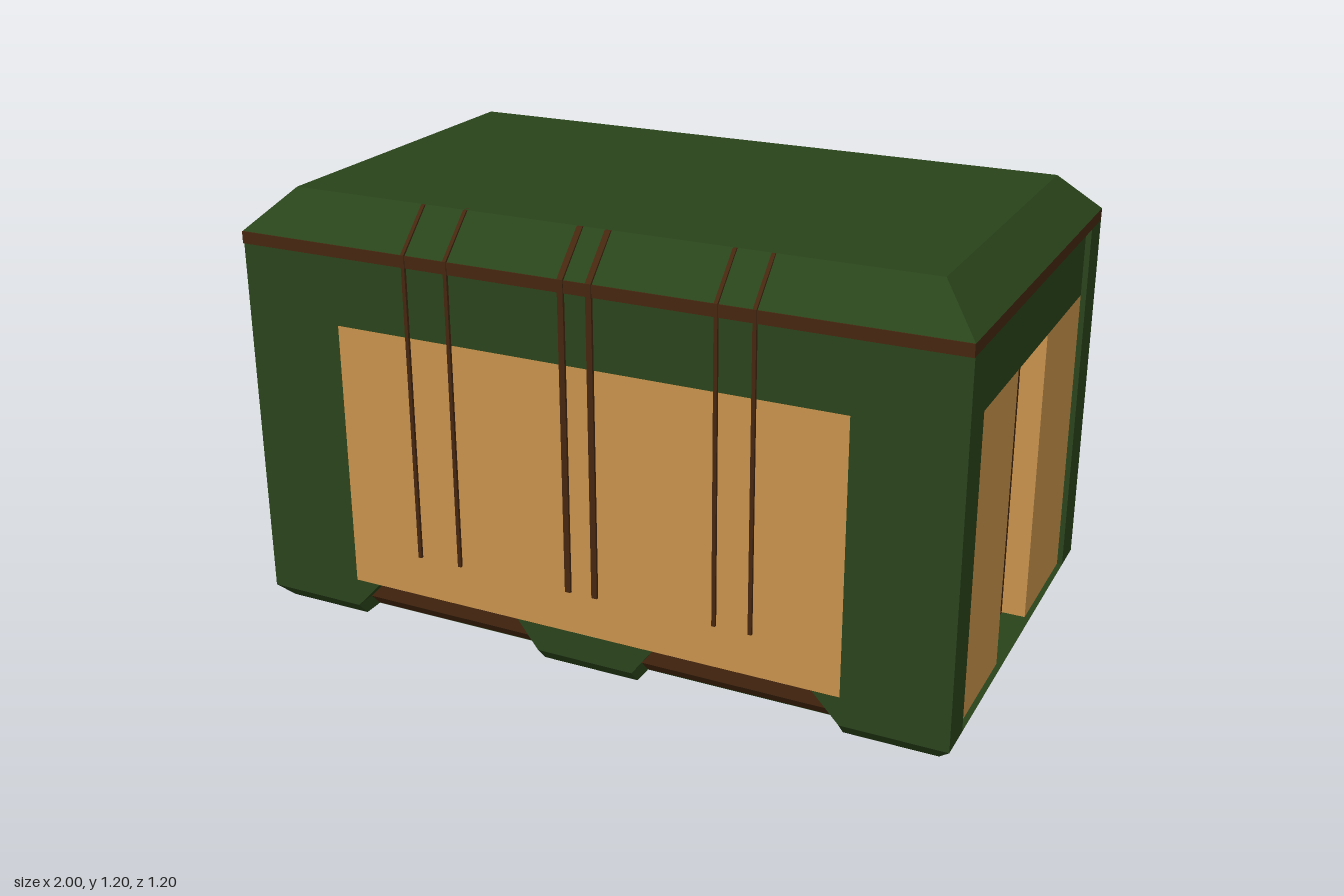
import * as THREE from 'three';

const mat = (color) => new THREE.MeshStandardMaterial({ color, flatShading: true });

export function createModel() {
  const model = new THREE.Group();
  const green = mat(0x29431b), wood = mat(0xc8924c), brown = mat(0x45270f);

  const add = (name, geometry, material) => {
    const mesh = new THREE.Mesh(geometry, material);
    mesh.name = name;
    model.add(mesh);
    return mesh;
  };

  // Box given by its limits; each end may be pulled in at the bottom or top.
  // inset = [at low x, at high x, at low z, at high z]
  const block = (name, material, [x0, x1], [y0, y1], [z0, z1], bottom = [0, 0, 0, 0], top = [0, 0, 0, 0]) => {
    const g = new THREE.BoxGeometry(1, 1, 1).toNonIndexed();
    const p = g.attributes.position;
    for (let i = 0; i < p.count; i++) {
      const up = p.getY(i) > 0;
      const inset = up ? top : bottom;
      p.setXYZ(i,
        p.getX(i) > 0 ? x1 - inset[1] : x0 + inset[0],
        up ? y1 : y0,
        p.getZ(i) > 0 ? z1 - inset[3] : z0 + inset[2]);
    }
    g.computeVertexNormals();
    return add(name, g, material);
  };

  // Flat outline in x and y, given thickness from z0 to z1
  const slab = (name, points, z0, z1) => {
    const shape = new THREE.Shape(points.map(([x, y]) => new THREE.Vector2(x, y)));
    const g = new THREE.ExtrudeGeometry(shape, { depth: z1 - z0, bevelEnabled: false });
    g.translate(0, 0, z0);
    return add(name, g, green);
  };

  const FRONT = 0.595, BACK = -0.6, CH = 0.035, FOOT = 0.04, WALL = 1.06;
  const PX = 0.715, PTOP = 0.87;

  // Inner core, seen through the door gaps and the notches
  block('core', brown, [-0.92, 0.92], [0.002, FOOT], [-0.525, 0.535], [0, 0, CH, CH]);
  block('core', brown, [-0.92, 0.92], [FOOT, WALL], [-0.525, 0.535]);
  block('floor', green, [-0.92, 0.92], [0, 0.03], [-0.489, 0.499]);

  // Frame of a long wall: an arch whose legs may flare inward above the feet
  const wallFrame = (name, panelBottom, flare, z0, z1) => {
    const half = [[1, FOOT], [1, WALL]];
    const inner = [[PX, PTOP], [PX, panelBottom]];
    if (flare) inner.push([PX - flare, panelBottom]);
    inner.push([PX, FOOT]);
    const right = half.concat();
    const left = half.map(([x, y]) => [-x, y]).reverse();
    const innerLeft = inner.map(([x, y]) => [-x, y]).reverse();
    slab(name, [...right, ...left, ...innerLeft, ...inner], z0, z1);
  };
  wallFrame('frontWall', 0.12, 0.075, 0.535, FRONT);
  wallFrame('backWall', 0.25, 0, BACK, -0.525);
  block('frontPanel', wood, [-PX, PX], [0.12, PTOP], [0.53, FRONT]);
  block('backPanel', wood, [-PX, PX], [0.25, PTOP], [BACK, -0.52]);

  // Pillars between the notches
  slab('frontPillar', [[-0.14, FOOT], [0.14, FOOT], [0.2, 0.12], [-0.2, 0.12]], 0.535, FRONT);
  block('frontPillarFoot', green, [-0.14, 0.14], [0, FOOT], [0.49, FRONT], [0, 0, 0, CH]);
  for (const s of [-1, 1]) {
    const x = [0.2875 * s - 0.1425, 0.2875 * s + 0.1425];
    block('backPillar', green, x, [FOOT, 0.25], [BACK, -0.525]);
    block('backPillarFoot', green, x, [0, FOOT], [BACK, -0.48], [0, 0, CH, 0]);
  }

  // Both ends: corner feet, posts, sill, header and sliding doors
  for (const s of [-1, 1]) {
    const span = (a, b) => (s > 0 ? [a, b] : [-b, -a]);
    const outer = s > 0 ? [0, CH] : [CH, 0];
    block('frontFoot', green, span(PX, 1), [0, FOOT], [0.49, FRONT], [...outer, 0, CH]);
    block('backFoot', green, span(PX, 1), [0, FOOT], [BACK, -0.48], [...outer, CH, 0]);
    block('sill', green, span(0.9, 1), [0, FOOT], [-0.49, 0.49], [...outer, 0, 0]);
    block('cornerPost', green, span(0.9, 1), [FOOT, WALL], [0.49, 0.535]);
    block('cornerPost', green, span(0.9, 1), [FOOT, WALL], [-0.525, -0.495]);
    block('header', green, span(0.9, 0.985), [PTOP, WALL], [-0.495, 0.49]);
    block('door', wood, span(0.91, 0.985), [FOOT, PTOP], [0.138, 0.49]);
    block('door', wood, span(0.91, 0.985), [FOOT, PTOP], [-0.495, -0.14]);
  }

  // Roof
  block('trim', brown, [-1, 1], [WALL, 1.093], [BACK, 0.6]);
  block('roof', green, [-1, 1], [1.093, 1.2], [BACK, 0.597], [0, 0, 0, 0], [0.107, 0.107, 0.105, 0.107]);

  // Thin cords running down the roof slope and the front wall
  const cords = [[-0.495, 0.01], [-0.37, 0.01], [-0.04, 0.016], [0.038, 0.016], [0.376, 0.01], [0.475, 0.01]];
  for (const [x, w] of cords) {
    const range = [x - w / 2, x + w / 2];
    block('cord', brown, range, [0.24, 1.095], [0.59, 0.603]);
    block('cordOnRoof', brown, range, [1.095, 1.2], [0.58, 0.603], [0, 0, 0, 0], [0, 0, -0.107 + 0.0, 0.107]);
  }
  return model;
}
